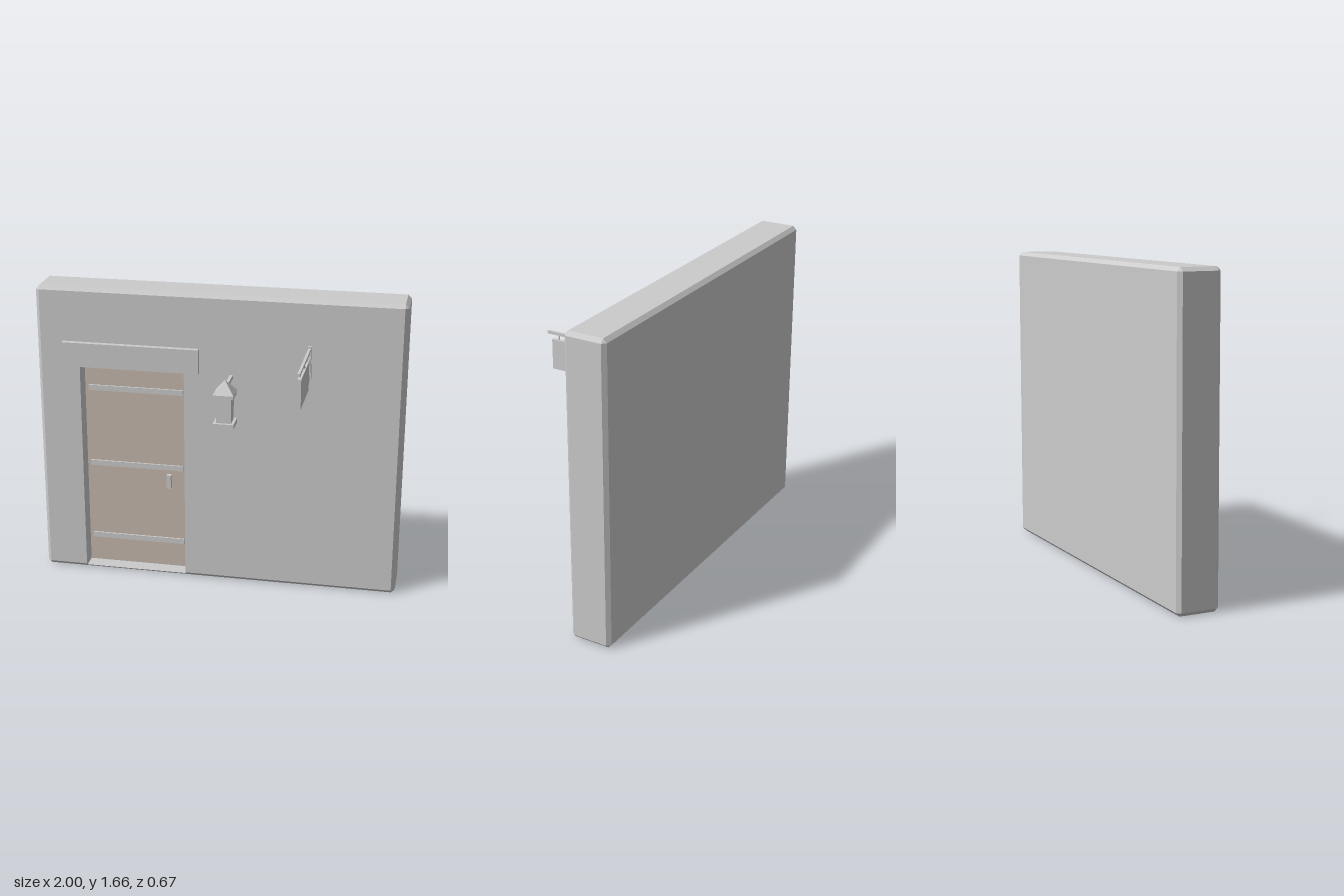
import * as THREE from 'three';

const grey = new THREE.MeshStandardMaterial({ color: 0xcccccc, flatShading: true });
const wood = new THREE.MeshStandardMaterial({ color: 0xc6b9af, flatShading: true });

// Box given by its extents on each axis
function box(name, [x0, x1], [y0, y1], [z0, z1], material = grey) {
  const mesh = new THREE.Mesh(new THREE.BoxGeometry(x1 - x0, y1 - y0, z1 - z0), material);
  mesh.position.set((x0 + x1) / 2, (y0 + y1) / 2, (z0 + z1) / 2);
  mesh.name = name;
  return mesh;
}

function group(name, ...parts) {
  const g = new THREE.Group();
  g.name = name;
  g.add(...parts);
  return g;
}

// Chamfered wall with a doorway recessed into its front
const MIN = [-1, 0, -0.33], MAX = [1, 1.66, -0.1], BEVEL = 0.02;
const DOOR = { x0: -0.765, x1: -0.185, y0: 0.01, y1: 1.23, z: -0.2 };

function createWall() {
  const positions = [];
  const v = (x, y, z) => new THREE.Vector3(x, y, z);

  // Flat polygon as a fan, its front turned along the given direction
  function face(points, direction) {
    const normal = points[1].clone().sub(points[0]).cross(points[2].clone().sub(points[0]));
    const p = normal.dot(direction) < 0 ? [...points].reverse() : points;
    for (let i = 1; i < p.length - 1; i++) {
      for (const q of [p[0], p[i], p[i + 1]]) positions.push(q.x, q.y, q.z);
    }
  }
  // Corner by signs; it touches the side of the given axis and is inset on the others
  const corner = (axis, s) => v(...s.map((sign, i) => {
    const inset = i === axis ? 0 : BEVEL;
    return sign > 0 ? MAX[i] - inset : MIN[i] + inset;
  }));
  const signs = [-1, 1];

  for (let a = 0; a < 3; a++) {
    const b = (a + 1) % 3, c = (a + 2) % 3;
    const at = (sa, sb, sc) => {
      const s = [0, 0, 0];
      s[a] = sa; s[b] = sb; s[c] = sc;
      return s;
    };
    // Sides, apart from the front
    for (const s of signs) {
      if (a === 2 && s > 0) continue;
      const ring = [[-1, -1], [1, -1], [1, 1], [-1, 1]];
      face(ring.map(([p, q]) => corner(a, at(s, p, q))), v(...at(s, 0, 0)));
    }
    // Chamfers along this axis, apart from the lower front one
    for (const p of signs) for (const q of signs) {
      if (a === 0 && p < 0 && q > 0) continue;
      const s0 = at(-1, p, q), s1 = at(1, p, q);
      face([corner(b, s0), corner(b, s1), corner(c, s1), corner(c, s0)], v(...at(0, p, q)));
    }
  }
  for (const x of signs) for (const y of signs) for (const z of signs) {
    face([0, 1, 2].map(axis => corner(axis, [x, y, z])), v(x, y, z));
  }

  // Front and its lower chamfer, split around the doorway
  const { x0, x1, y0, y1, z } = DOOR;
  const zf = MAX[2], left = MIN[0] + BEVEL, right = MAX[0] - BEVEL, top = MAX[1] - BEVEL;
  const front = v(0, 0, 1), slope = v(0, -1, 1), zSill = zf - BEVEL + y0;
  const frontPanel = (a, b, low) =>
    face([v(a, low, zf), v(b, low, zf), v(b, top, zf), v(a, top, zf)], front);
  const chamfer = (a, b, h) => {
    const d = zf - BEVEL;
    face([v(a, 0, d), v(b, 0, d), v(b, h, d + h), v(a, h, d + h)], slope);
  };
  frontPanel(left, x0, BEVEL);
  frontPanel(x0, x1, y1);
  frontPanel(x1, right, BEVEL);
  chamfer(left, x0, BEVEL);
  chamfer(x0, x1, y0);
  chamfer(x1, right, BEVEL);

  // Doorway jambs, sill, head and back
  for (const [x, d] of [[x0, 1], [x1, -1]]) {
    face([v(x, y0, z), v(x, y0, zSill), v(x, BEVEL, zf), v(x, y1, zf), v(x, y1, z)], v(d, 0, 0));
  }
  face([v(x0, y0, z), v(x1, y0, z), v(x1, y0, zSill), v(x0, y0, zSill)], v(0, 1, 0));
  face([v(x0, y1, z), v(x1, y1, z), v(x1, y1, zf), v(x0, y1, zf)], v(0, -1, 0));
  face([v(x0, y0, z), v(x1, y0, z), v(x1, y1, z), v(x0, y1, z)], front);

  const geometry = new THREE.BufferGeometry();
  geometry.setAttribute('position', new THREE.Float32BufferAttribute(positions, 3));
  geometry.computeVertexNormals();
  const wall = new THREE.Mesh(geometry, grey);
  wall.name = 'wall';
  return wall;
}

// Plank door with three iron straps and a handle
function createDoor() {
  const { x0, x1, y0, y1, z } = DOOR;
  const door = group('door',
    box('doorPanel', [x0, x1], [y0, y1], [z - 0.02, z + 0.005], wood),
    box('doorHandle', [-0.305, -0.28], [0.5, 0.58], [z, z + 0.03]));
  for (const y of [0.17, 0.62, 1.07]) {
    door.add(box('doorStrap', [-0.745, -0.21], [y - 0.015, y + 0.015], [z, z + 0.015]));
  }
  return door;
}

// Square lantern with a pyramid roof, held by an arm from the wall
function createLantern() {
  const cx = 0.075, cz = 0.08;
  const block = (name, half, y) => box(name, [cx - half, cx + half], y, [cz - half, cz + half]);
  const roofGeometry = new THREE.ConeGeometry(0.056 * Math.SQRT2, 0.07, 4);
  roofGeometry.rotateY(Math.PI / 4);
  const roof = new THREE.Mesh(roofGeometry, grey);
  roof.name = 'lanternRoof';
  roof.position.set(cx, 1.223, cz);
  return group('lantern',
    block('lanternBase', 0.056, [1.005, 1.03]),
    block('lanternBody', 0.04, [1.03, 1.168]),
    block('lanternEave', 0.053, [1.168, 1.188]),
    roof,
    box('lanternArm', [cx - 0.009, cx + 0.009], [1.204, 1.224], [-0.1, 0.06]));
}

// Blank board hanging from a braced bracket
function createHangingSign() {
  const cx = 0.495;
  const bar = (name, half, y, z) => box(name, [cx - half, cx + half], y, z);
  const sign = group('hangingSign',
    bar('signBoard', 0.01, [1.205, 1.365], [0, 0.307]),
    bar('bracketBar', 0.007, [1.39, 1.405], [-0.09, 0.335]),
    bar('bracketPlate', 0.01, [1.22, 1.412], [-0.102, -0.083]),
    bar('bracketRib', 0.006, [1.225, 1.355], [-0.085, -0.068]));
  for (const z of [0.035, 0.27]) {
    sign.add(bar('signHanger', 0.003, [1.36, 1.395], [z - 0.003, z + 0.003]));
  }
  const dz = 0.26, dy = 0.16;
  const brace = new THREE.Mesh(new THREE.BoxGeometry(0.01, 0.011, Math.hypot(dz, dy)), grey);
  brace.name = 'bracketBrace';
  brace.position.set(cx, 1.315, 0.038);
  brace.rotation.x = -Math.atan2(dy, dz);
  sign.add(brace);
  return sign;
}

export function createModel() {
  return group('doorwayWall',
    createWall(),
    createDoor(),
    box('lintel', [-0.855, -0.1], [1.225, 1.36], [-0.11, -0.07]),
    createLantern(),
    createHangingSign());
}
